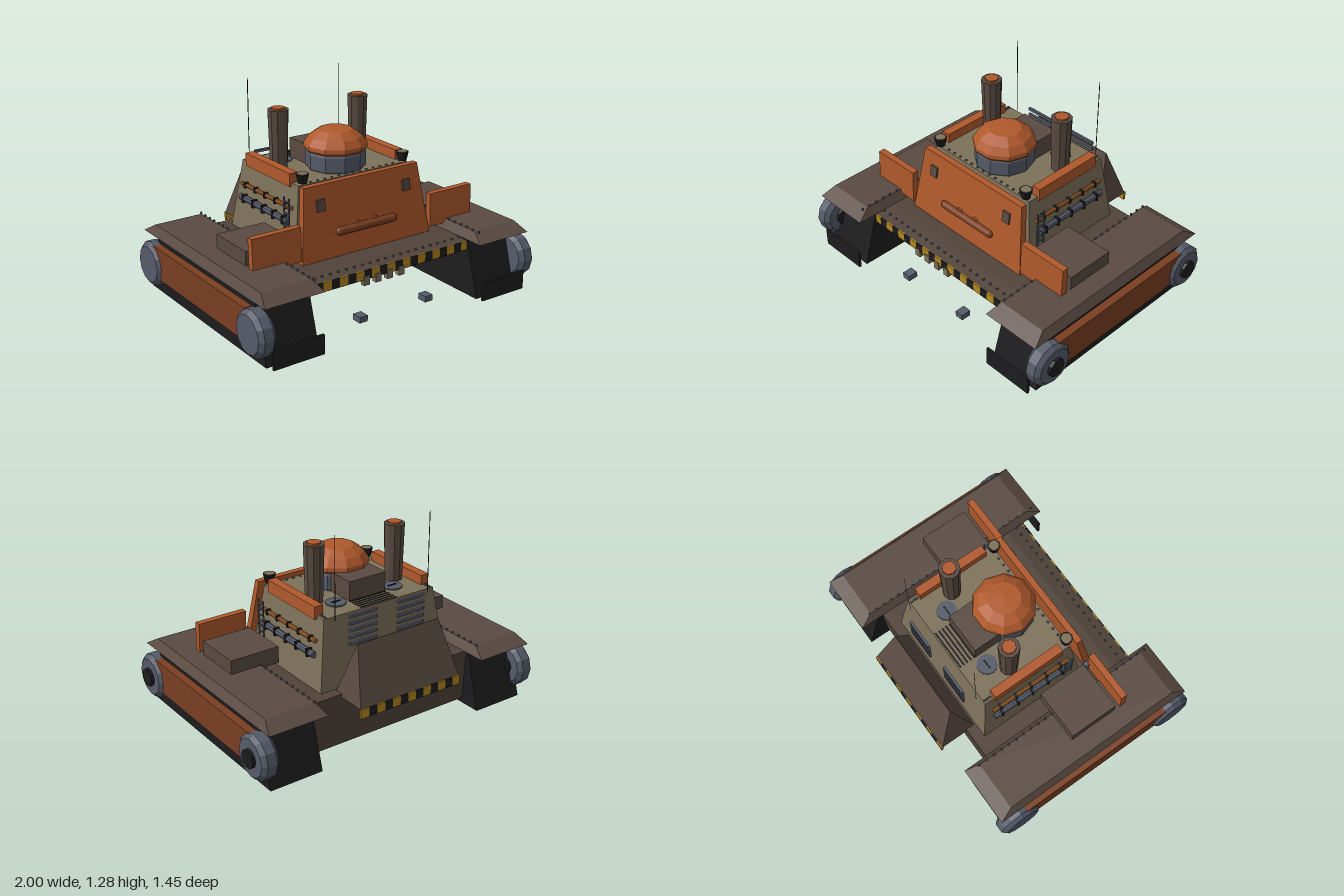
import * as THREE from 'three';

const mat = (name, color) => {
  const m = new THREE.MeshStandardMaterial({ color, flatShading: true });
  m.name = name;
  return m;
};

export function createModel() {
  const brown = mat('brown', 0x5a4b42), hullBrown = mat('dark brown', 0x50433a);
  const orange = mat('orange', 0xb0592c), rust = mat('rust', 0x7a3f22);
  const khaki = mat('khaki', 0x7d7159), slate = mat('slate', 0x555b69);
  const black = mat('black', 0x1d1d1f), yellow = mat('yellow', 0xb5871f);
  const copper = mat('copper', 0xa0602c);

  const model = new THREE.Group();
  model.name = 'trackedVehicle';
  const body = new THREE.Group();
  body.name = 'body';
  body.position.x = -0.01;
  model.add(body);

  const add = (name, geo, material, x = 0, y = 0, z = 0) => {
    const m = new THREE.Mesh(geo, material);
    m.name = name;
    m.position.set(x, y, z);
    body.add(m);
    return m;
  };
  // Box given by its limits
  const box = (name, material, x0, x1, y0, y1, z0, z1) =>
    add(name, new THREE.BoxGeometry(x1 - x0, y1 - y0, z1 - z0), material, (x0 + x1) / 2, (y0 + y1) / 2, (z0 + z1) / 2);
  // Box whose top is scaled and shifted
  const taper = (w, h, d, topW, topD, shift = 0) => {
    const g = new THREE.BoxGeometry(w, h, d);
    const p = g.attributes.position;
    for (let i = 0; i < p.count; i++) {
      if (p.getY(i) > 0) {
        p.setX(i, p.getX(i) * topW / w);
        p.setZ(i, p.getZ(i) * topD / d + shift);
      }
    }
    g.computeVertexNormals();
    return g;
  };
  const lathe = (points, sides) => new THREE.LatheGeometry(points.map(([r, y]) => new THREE.Vector2(r, y)), sides);
  const rivetGeo = new THREE.SphereGeometry(0.0085, 6, 4);
  const rivet = (x, y, z) => add('rivet', rivetGeo, slate, x, y, z);

  // Hull, wedge shaped along its length
  const side = new THREE.Shape([[0.55, 0.285], [0.55, 0.345], [0.43, 0.365], [-0.54, 0.365], [-0.52, 0.03], [-0.1, 0.03]]
    .map(([z, y]) => new THREE.Vector2(-z, y)));
  const hullGeo = new THREE.ExtrudeGeometry(side, { depth: 1.18, bevelEnabled: false });
  hullGeo.translate(0, 0, -0.59).rotateY(Math.PI / 2);
  add('hull', hullGeo, hullBrown);

  // Front and rear warning strips
  const strip = (name, half, n, y0, y1, z0, z1) => {
    const w = 2 * half / n;
    for (let i = 0; i < n; i++)
      box(name, i % 2 ? black : yellow, -half + i * w, -half + (i + 1) * w, y0, y1, z0, z1);
  };
  strip('frontWarningStrip', 0.588, 21, 0.29, 0.346, 0.548, 0.557);
  strip('rearWarningStrip', 0.36, 13, 0.29, 0.345, -0.728, -0.713);
  for (let i = 0; i < 21; i++) rivet(-0.56 + i * 1.12 / 20, 0.357, 0.5);
  for (let i = 0; i < 4; i++) box('towHook', khaki, -0.2 + i * 0.084, -0.16 + i * 0.084, 0.255, 0.31, 0.53, 0.562);

  // Tracks, wheels and fenders
  const trackGeo = taper(0.345, 0.36, 1.32, 0.345, 1.11);
  const wheelGeo = lathe([[0, -0.055], [0.115, -0.055], [0.142, -0.03], [0.142, 0.03], [0.115, 0.055], [0, 0.055]], 12);
  wheelGeo.rotateZ(-Math.PI / 2);
  const hubGeo = new THREE.CylinderGeometry(0.058, 0.058, 0.03, 10).rotateZ(-Math.PI / 2);
  const fenderGeo = taper(0.385, 0.055, 1.39, 0.32, 1.21);
  const clampGeo = new THREE.BoxGeometry(0.046, 0.05, 0.014);
  const thinClampGeo = new THREE.BoxGeometry(0.032, 0.034, 0.014);
  const rod = (r, len) => new THREE.CylinderGeometry(r, r, len, 8).rotateX(Math.PI / 2);
  const antennaMat = mat('antenna black', 0x1d1d1f);
  antennaMat.side = THREE.DoubleSide;

  for (const s of [1, -1]) {
    const sideBox = (name, m, a, b, ...rest) => box(name, m, Math.min(s * a, s * b), Math.max(s * a, s * b), ...rest);
    add('track', trackGeo, black, s * 0.75, 0.18, 0);
    sideBox('trackSidePanel', rust, 0.9, 0.972, 0.12, 0.32, -0.53, 0.53);
    for (let i = 0; i < 6; i++)
      sideBox('trackGuide', slate, 0.915, 0.945, 0.108, 0.12, -0.41 + i * 0.15, -0.3 + i * 0.15);
    sideBox('mudFlap', black, 0.58, 0.91, 0.005, 0.125, 0.7, 0.715);
    for (const z of [0.585, -0.57]) {
      add('wheel', wheelGeo, slate, s * 0.936, 0.19, z);
      add('wheelHub', hubGeo, black, s * 0.936 + 0.06, 0.19, z);
    }
    add('fender', fenderGeo, brown, s * 0.752, 0.3925, 0);
    for (let i = 0; i < 24; i++) rivet(s * 0.594, 0.425, 0.64 - i * 0.0543);
    sideBox('stowageBox', brown, 0.47, 0.793, 0.4, 0.507, -0.065, 0.255);
    box('towLight', slate, s * 0.24 - 0.028, s * 0.24 + 0.028, 0.06, 0.097, 0.55, 0.615);

    // Side wing armour
    add('wingPlate', taper(0.325, 0.21, 0.042, 0.325, 0.042, -0.008), orange, s * 0.633, 0.498, 0.316);
    for (const y of [0.42, 0.48]) add('hinge', new THREE.BoxGeometry(0.03, 0.025, 0.03), slate, s * 0.475, y, 0.275);

    // Roof rails
    sideBox('roofRail', orange, 0.356, 0.412, 0.77, 0.85, -0.355, 0.125);

    // Side pipes with clamps
    add('thinPipe', rod(0.013, 0.55), copper, s * 0.425, 0.653, -0.108);
    add('thickPipe', rod(0.02, 0.53), slate, s * 0.437, 0.57, -0.118);
    for (const z of [0.105, 0, -0.112, -0.22, -0.333]) {
      add('pipeClamp', clampGeo, black, s * 0.436, 0.57, z);
      add('pipeClamp', thinClampGeo, black, s * 0.425, 0.653, z);
    }

    // Ladder
    const ladder = new THREE.Group();
    ladder.name = 'ladder';
    for (const z of [-0.025, 0.025]) {
      const rail = new THREE.Mesh(new THREE.BoxGeometry(0.008, 0.23, 0.008), slate);
      rail.name = 'ladderRail';
      rail.position.z = z;
      ladder.add(rail);
    }
    for (let i = 0; i < 6; i++) {
      const rung = new THREE.Mesh(new THREE.BoxGeometry(0.008, 0.008, 0.05), slate);
      rung.name = 'ladderRung';
      rung.position.y = -0.09 + i * 0.036;
      ladder.add(rung);
    }
    ladder.position.set(s * 0.45, 0.605, 0.15);
    body.add(ladder);

    // Headlights
    add('headlight', new THREE.CylinderGeometry(0.04, 0.027, 0.055, 10), black, s * 0.362, 0.83, 0.185);
    add('headlightLens', new THREE.CylinderGeometry(0.031, 0.031, 0.006, 10), khaki, s * 0.362, 0.857, 0.185);

    // Exhaust stacks
    add('exhaustStack', new THREE.CylinderGeometry(0.064, 0.054, 0.36, 10), brown, s * 0.29, 0.965, -0.175);
    add('exhaustCap', new THREE.CylinderGeometry(0.042, 0.042, 0.014, 8), orange, s * 0.29, 1.149, -0.175);

    // Roof hatches
    add('roofHatch', new THREE.CylinderGeometry(0.062, 0.062, 0.02, 12), slate, s * 0.206, 0.788, -0.27);
    add('hatchHandle', new THREE.BoxGeometry(0.06, 0.006, 0.008), black, s * 0.206, 0.8, -0.27);

    // Whip antennas
    add('antenna', new THREE.PlaneGeometry(0.006, 0.51), antennaMat, s * 0.335, 1.03, -0.44);

    // Rear louvres
    for (let i = 0; i < 5; i++)
      sideBox('louvre', slate, 0.075, 0.27, 0.62 + i * 0.0425, 0.637 + i * 0.0425, -0.493, -0.477);

    // Front viewing ports
    const port = add('viewPort', new THREE.BoxGeometry(0.055, 0.07, 0.012), brown, s * 0.31, 0.685, 0.292);
    port.rotation.x = -0.14;
  }

  // Cabin and sloped front plate
  add('cabin', taper(0.91, 0.43, 0.72, 0.79, 0.61), khaki, 0, 0.575, -0.113);
  add('frontPlate', taper(0.93, 0.435, 0.045, 0.82, 0.04, -0.064), orange, 0, 0.583, 0.312);
  add('frontBar', new THREE.CapsuleGeometry(0.025, 0.39, 4, 12).rotateZ(Math.PI / 2), rust, 0, 0.51, 0.316);
  for (const x of [-0.065, 0.065])
    add('barBracket', new THREE.CylinderGeometry(0.022, 0.022, 0.012, 10).rotateX(Math.PI / 2), orange, x, 0.53, 0.313);
  for (let i = 0; i < 13; i++) rivet(-0.3 + i * 0.05, 0.791, 0.175);
  for (const s of [1, -1])
    for (let i = 0; i < 3; i++) rivet(s * 0.375, 0.791, -0.37 - i * 0.018);

  // Turret ring and dome
  const ring = lathe([[0, 0.78], [0.17, 0.78], [0.182, 0.8], [0.182, 0.885], [0.17, 0.91], [0, 0.91]], 10);
  add('turretRing', ring.rotateY(Math.PI / 10), slate);
  const dome = lathe([[0, 0.9], [0.185, 0.9], [0.193, 0.912], [0.19, 0.937], [0.16, 0.981], [0.102, 1.02], [0, 1.026]], 10);
  add('turretDome', dome.rotateY(Math.PI / 10), orange);

  // Engine housing and roof grille
  box('engineHousing', brown, -0.13, 0.13, 0.78, 0.912, -0.3, -0.01);
  for (let i = 0; i < 5; i++) box('grilleSlat', black, -0.13, 0.13, 0.785, 0.793, -0.41 + i * 0.025, -0.399 + i * 0.025);

  // Rear stowage bin with a ridged top
  add('rearBin', taper(0.72, 0.335, 0.24, 0.58, 0.004, 0.004), brown, 0, 0.5125, -0.598);

  return model;
}
